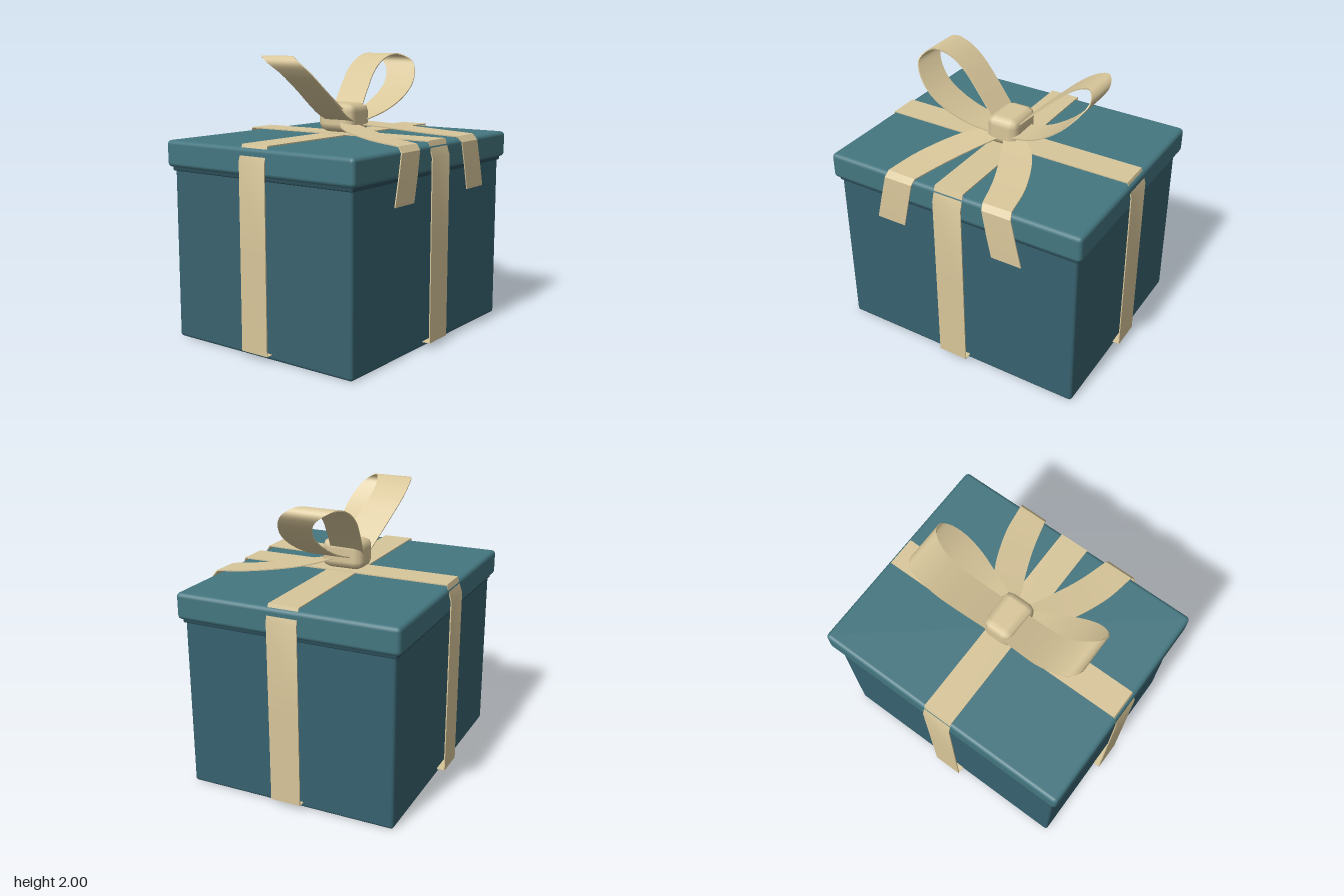
import * as THREE from 'three';
import { toCreasedNormals } from 'three/addons/utils/BufferGeometryUtils.js';
import { RoundedBoxGeometry } from 'three/addons/geometries/RoundedBoxGeometry.js';

const V = (x, y, z) => new THREE.Vector3(x, y, z);
const mat = (color) => new THREE.MeshStandardMaterial({ color });
const CZ = -0.005; // centre of the box in z

// Thin solid band running between two matching edge lines a[] and b[].
function ribbonGeometry(a, b, thickness) {
  const n = a.length, pos = [], idx = [];
  for (let i = 0; i < n; i++) {
    const p = Math.max(i - 1, 0), q = Math.min(i + 1, n - 1);
    const along = a[q].clone().add(b[q]).sub(a[p]).sub(b[p]);
    const off = along.cross(b[i].clone().sub(a[i])).setLength(thickness / 2);
    for (const [e, s] of [[a, 1], [b, 1], [b, -1], [a, -1]]) {
      pos.push(...e[i].clone().addScaledVector(off, s).toArray());
    }
  }
  for (let i = 0; i < n - 1; i++) {
    for (let k = 0; k < 4; k++) {
      const c = i * 4 + k, d = i * 4 + (k + 1) % 4;
      idx.push(c, c + 4, d + 4, c, d + 4, d);
    }
  }
  const e = (n - 1) * 4;
  idx.push(0, 1, 2, 0, 2, 3, e, e + 2, e + 1, e, e + 3, e + 2);
  const g = new THREE.BufferGeometry();
  g.setAttribute('position', new THREE.Float32BufferAttribute(pos, 3));
  g.setIndex(idx);
  return toCreasedNormals(g, 0.6);
}

const smooth = (points, n) =>
  new THREE.CatmullRomCurve3(points, false, 'centripetal').getPoints(n);

export function createModel() {
  const group = new THREE.Group();
  const teal = mat(0x38626f), lidTeal = mat(0x447680), dark = mat(0x2a4c57), gold = mat(0xd8c69a);
  const add = (name, geometry, material) => {
    const m = new THREE.Mesh(geometry, material);
    m.name = name;
    group.add(m);
    return m;
  };
  const block = (name, w, y0, y1, d, r, seg, material) =>
    add(name, new RoundedBoxGeometry(w, y1 - y0, d, seg, r), material).position.set(0, (y0 + y1) / 2, CZ);

  // Box, rim under the lid, and lid
  block('boxBody', 1.87, 0.005, 1.24, 1.53, 0.022, 2, teal);
  block('rim', 1.89, 1.205, 1.25, 1.55, 0.008, 1, dark);
  block('lid', 1.95, 1.232, 1.42, 1.61, 0.03, 2, lidTeal);

  // Straps: up one side, over the lid and down the other
  const strap = (name, half, top, place) => {
    const side = [[half - 0.06, 0.045], [half, 0.045], [half, 0.7], [half, 1.33], [half - 0.033, top]];
    const path = [...side.map(([u, y]) => [-u, y]), ...side.reverse()];
    const edge = (w) => path.map(([u, y]) => place(u, y, w));
    add(name, ribbonGeometry(edge(0.11), edge(-0.11), 0.008), gold);
  };
  strap('sideToSideStrap', 0.983, 1.436, (u, y, w) => V(u, y, CZ + w));
  strap('frontToBackStrap', 0.821, 1.439, (u, y, w) => V(w, y, CZ + u));

  // Bow loops: centre line and half width
  const loop = [
    [0.05, 1.525, 0.02, 0.115], [0.25, 1.595, 0.08, 0.12], [0.4, 1.68, 0.115, 0.125],
    [0.53, 1.78, 0.118, 0.125], [0.63, 1.89, 0.07, 0.13], [0.665, 1.955, 0, 0.14],
    [0.62, 1.997, -0.09, 0.14], [0.52, 1.963, -0.128, 0.128], [0.4, 1.882, -0.128, 0.125],
    [0.25, 1.75, -0.09, 0.125], [0.06, 1.57, -0.03, 0.125],
  ];
  // Tails: inner and outer edges, lying on the lid and then hanging in front
  const tailInner = [[0, 1.51, 0.1], [0.1, 1.485, 0.31], [0.2, 1.455, 0.56], [0.265, 1.437, 0.79]];
  const tailOuter = [[0.08, 1.53, 0.02], [0.28, 1.497, 0.2], [0.43, 1.46, 0.53], [0.48, 1.44, 0.79]];
  const hangInner = [[0.275, 1.4, 0.82], [0.31, 1.23, 0.825], [0.347, 1.062, 0.826]];
  const hangOuter = [[0.49, 1.4, 0.82], [0.53, 1.23, 0.825], [0.57, 1.062, 0.826]];

  for (const [label, s] of [['left', 1], ['right', -1]]) {
    const loopEdge = (k) => smooth(loop.map(([x, y, z, w]) => V(s * x, y, z + k * w)), 60);
    add(label + 'BowLoop', ribbonGeometry(loopEdge(1), loopEdge(-1), 0.008), gold);

    const flip = (list) => list.map(([x, y, z]) => V(s * x, y, z));
    const tailEdge = (top, hang) => [...smooth(flip(top), 18), ...flip(hang)];
    add(label + 'Tail', ribbonGeometry(tailEdge(tailInner, hangInner), tailEdge(tailOuter, hangOuter), 0.008), gold);
  }

  // Chamfered knot, a little narrower towards the back
  const knot = new RoundedBoxGeometry(0.25, 0.21, 0.315, 1, 0.06);
  const p = knot.attributes.position;
  for (let i = 0; i < p.count; i++) p.setX(i, p.getX(i) * (0.94 + 0.3 * p.getZ(i)));
  knot.computeBoundingBox();
  add('knot', knot, gold).position.set(0, 1.555, -0.003);

  return group;
}
